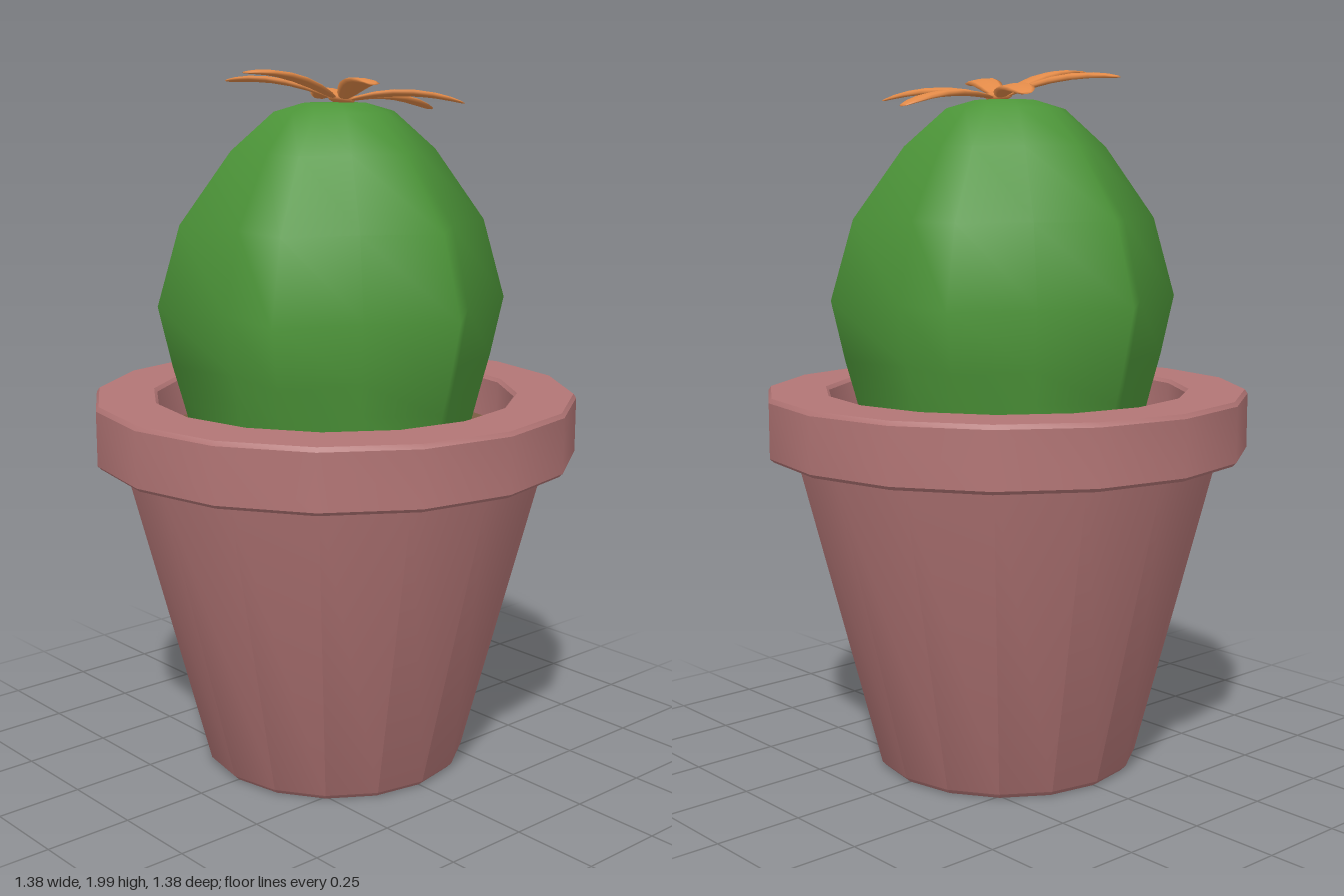
import * as THREE from 'three';
import { mergeVertices, toCreasedNormals } from 'three/addons/utils/BufferGeometryUtils.js';

const material = (name, color) => {
  const m = new THREE.MeshStandardMaterial({ color });
  m.name = name;
  return m;
};

const lathe = (profile, sides) =>
  new THREE.LatheGeometry(profile.map(([r, y]) => new THREE.Vector2(r, y)), sides);

// Moves every vertex by a rule, then rebuilds smooth normals without a seam
function reshape(geometry, rule) {
  const p = geometry.attributes.position;
  const v = new THREE.Vector3();
  for (let i = 0; i < p.count; i++) {
    rule(v.fromBufferAttribute(p, i), i);
    p.setXYZ(i, v.x, v.y, v.z);
  }
  geometry.deleteAttribute('uv');
  geometry.deleteAttribute('normal');
  const merged = mergeVertices(geometry, 1e-4);
  merged.computeVertexNormals();
  return merged;
}

export function createModel() {
  const model = new THREE.Group();
  const clay = material('clay', 0xb27575);
  const earth = material('earth', 0x7a5c42);
  const green = material('cactusGreen', 0x4d9639);
  const orange = material('petalOrange', 0xe28a48);

  const add = (parent, name, geometry, mat) => {
    const mesh = new THREE.Mesh(geometry, mat);
    mesh.name = name;
    parent.add(mesh);
    return mesh;
  };
  const crease = THREE.MathUtils.degToRad(32);

  // Sixteen-sided tapered pot with a heavy rim
  add(model, 'potBody', toCreasedNormals(lathe([
    [0, 0], [0.365, 0], [0.38, 0.015], [0.615, 0.925],
  ], 16), crease), clay);
  add(model, 'potRim', toCreasedNormals(lathe([
    [0.5, 0.915], [0.68, 0.915], [0.69, 0.925], [0.69, 1.08], [0.682, 1.092],
    [0.522, 1.092], [0.513, 1.082], [0.505, 0.93],
  ], 16), crease), clay);

  // Soil disc
  const soil = add(model, 'soil', new THREE.CircleGeometry(0.512, 16), earth);
  soil.rotation.x = -Math.PI / 2;
  soil.position.y = 0.97;

  // Six-ribbed cactus: even columns are pulled in to make the valleys
  const cactusProfile = [
    [0.4, 0.95], [0.437, 1.09], [0.462, 1.18], [0.5, 1.35], [0.435, 1.575],
    [0.29, 1.775], [0.17, 1.88], [0.09, 1.903], [0, 1.905],
  ];
  const valley = [0.8, 0.79, 0.785, 0.78, 0.79, 0.83, 0.89, 0.95, 1];
  const rows = cactusProfile.length;
  add(model, 'cactus', reshape(lathe(cactusProfile, 12), (v, i) => {
    if (Math.floor(i / rows) % 2 === 0) {
      v.x *= valley[i % rows];
      v.z *= valley[i % rows];
    }
  }), green);

  // Tilted flower of six arched petals
  const flower = new THREE.Group();
  flower.name = 'flower';
  flower.position.set(0, 1.903, -0.025);
  flower.rotation.x = -0.157;
  model.add(flower);

  const petal = reshape(
    new THREE.SphereGeometry(1, 8, 9).rotateZ(Math.PI / 2),
    (v) => {
      const r = 0.185 + v.x * 0.167;
      const width = 0.044 + 0.006 * v.x;
      v.set(r, v.y * 0.009 + 0.4 * r - 0.9 * r * r, v.z * width);
    });
  for (let i = 0; i < 6; i++) {
    add(flower, 'petal', petal, orange).rotation.y = Math.PI / 6 + i * Math.PI / 3;
  }
  add(flower, 'flowerCentre', new THREE.SphereGeometry(0.04, 6, 6)
    .scale(1, 0.4, 1).translate(0, 0.012, 0), orange);

  return model;
}
